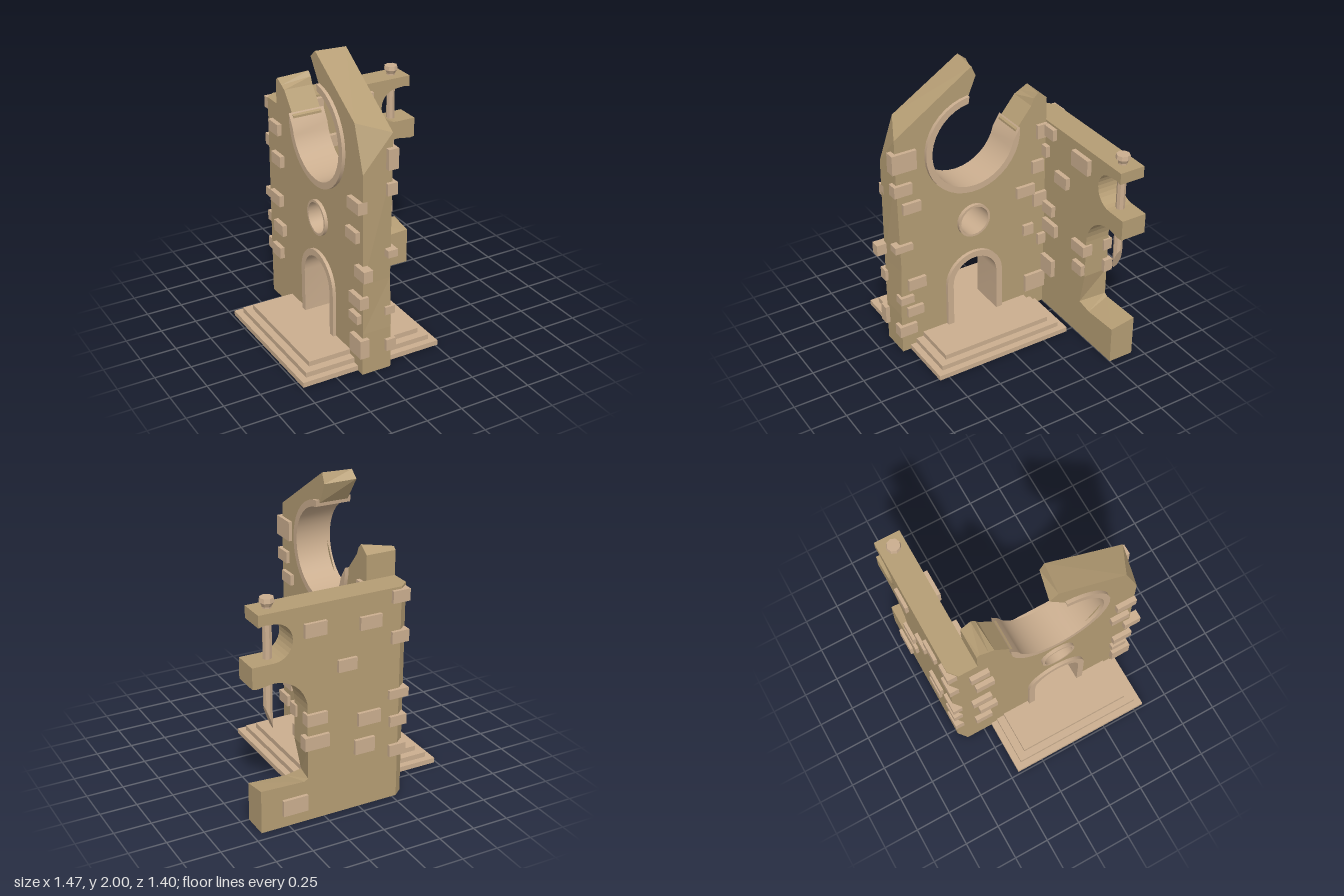
import * as THREE from 'three';
import { toCreasedNormals } from 'three/addons/utils/BufferGeometryUtils.js';

const wallMat = new THREE.MeshStandardMaterial({ color: 0xb59d74, flatShading: true });
const trimMat = new THREE.MeshStandardMaterial({ color: 0xcbae8f });

// Points along an arc, angles in degrees
function arc(cx, cy, r, a0, a1, n) {
  return Array.from({ length: n + 1 }, (_, i) => {
    const a = THREE.MathUtils.degToRad(a0 + (a1 - a0) * i / n);
    return [cx + r * Math.cos(a), cy + r * Math.sin(a)];
  });
}
const toVectors = pts => pts.map(p => new THREE.Vector2(p[0], p[1]));

// Extruded outline; a point [u, v, u2, v2] uses u2, v2 on the far face (depth 0)
function slab(pts, depth, holes = []) {
  const shape = new THREE.Shape(toVectors(pts));
  shape.holes = holes.map(h => new THREE.Path(toVectors(h)));
  const geo = new THREE.ExtrudeGeometry(shape, { depth, bevelEnabled: false });
  const pos = geo.attributes.position;
  const moved = pts.filter(p => p.length === 4);
  for (let i = 0; i < pos.count; i++) {
    if (pos.getZ(i) > 1e-4) continue;
    const m = moved.find(p => Math.hypot(p[0] - pos.getX(i), p[1] - pos.getY(i)) < 1e-4);
    if (m) pos.setXY(i, m[2], m[3]);
  }
  geo.computeVertexNormals();
  return geo;
}
// Slab drawn in (-z, y) and extruded along x
const sideSlab = (pts, x0, x1, holes) => slab(pts, x1 - x0, holes).rotateY(Math.PI / 2).translate(x0, 0, 0);
// Slab drawn in (x, -z) and extruded upwards
const floorSlab = (pts, y0, y1, holes) => slab(pts, y1 - y0, holes).rotateX(-Math.PI / 2).translate(0, y0, 0);

export function createModel() {
  const model = new THREE.Group();
  const add = (name, geo, mat, parent = model) => {
    const mesh = new THREE.Mesh(geo, mat);
    mesh.name = name;
    parent.add(mesh);
    return mesh;
  };

  // Stepped base, hollow underneath
  const rect = ([x0, x1, z0, z1]) => [[x0, -z1], [x1, -z1], [x1, -z0], [x0, -z0]];
  const steps = [
    [-0.735, 0.265, -0.44, 0.57],
    [-0.69, 0.22, -0.395, 0.525],
    [-0.64, 0.17, -0.34, 0.47],
  ].map(rect);
  steps.forEach((s, i) => {
    const holes = i < 2 ? [steps[i + 1]] : [];
    add('step' + (i + 1), floorSlab(s, i * 0.035, (i + 1) * 0.035, holes), trimMat);
  });

  // Gate wall with doorway, small window and broken round opening
  const u0 = -0.07;
  const gate = [
    [-0.63, 0], [u0 - 0.19, 0], ...arc(u0, 0.42, 0.19, 180, 0, 14), [u0 + 0.19, 0],
    [0.5, 0], [0.5, 1.63], [0.43, 1.68, 0.48, 1.65], [0.4, 1.65, 0.42, 1.62],
    [0.38, 1.6], [0.275, 1.47],
    ...arc(u0, 1.46, 0.33, 0, -265, 28),
    [-0.04, 1.93, 0.01, 1.95], [-0.07, 2, -0.05, 2],
    [-0.63, 1.635, -0.53, 1.7], [-0.63, 1.4], [-0.615, 0.65, -0.63, 0.65], [-0.63, 0.3],
  ];
  add('gateWall', sideSlab(gate, -0.34, -0.135, [arc(u0, 0.88, 0.112, 0, 345, 23)]), wallMat);

  // Stone trims around the three openings
  const trim = (name, pts, holes) =>
    add(name, toCreasedNormals(sideSlab(pts, -0.363, -0.11, holes), 0.6), trimMat);
  trim('roundOpeningTrim', [...arc(u0, 1.46, 0.35, 95, 363, 28), ...arc(u0, 1.46, 0.305, 348, 97, 26)]);
  trim('windowTrim', arc(u0, 0.88, 0.12, 0, 345, 23), [arc(u0, 0.88, 0.104, 0, 345, 23)]);
  trim('doorTrim', [
    [u0 + 0.215, 0], ...arc(u0, 0.42, 0.215, 0, 180, 16), [u0 - 0.215, 0],
    [u0 - 0.17, 0], ...arc(u0, 0.42, 0.17, 180, 0, 16), [u0 + 0.17, 0],
  ]);

  // Side wall with two broken arches, and its chamfered corner
  const side = [
    [-0.2, 0], [0.69, 0], [0.69, 0.265, 0.69, 0.295], [0.43, 0.25, 0.39, 0.285],
    [0.32, 0.27, 0.365, 0.3], [0.365, 0.5],
    ...arc(0.6, 0.775, 0.235, 180, 90, 9), [0.7, 0.995], [0.735, 1.0], [0.735, 1.14],
    ...arc(0.59, 1.265, 0.125, 270, 90, 14), [0.65, 1.395], [0.69, 1.385],
    [0.69, 1.465], [-0.2, 1.465],
  ];
  add('sideWall', slab(side, 0.18).translate(0, 0, -0.68), wallMat);
  const corner = [[-0.34, 0.5], [-0.2, 0.5], [-0.2, 0.68], [-0.28, 0.68], [-0.34, 0.63]];
  add('wallCorner', floorSlab(corner, 0, 1.465), wallMat);

  // Hanging rod with a slanted broken tip and an eight-sided cap
  const rod = new THREE.Group();
  rod.name = 'rod';
  rod.position.set(0.59, 0, -0.588);
  model.add(rod);
  const shaft = new THREE.CylinderGeometry(0.03, 0.03, 0.7, 8).translate(0, 1.15, 0);
  const p = shaft.attributes.position;
  for (let i = 0; i < p.count; i++) {
    if (p.getY(i) < 1) p.setY(i, 0.66 + (p.getX(i) + 0.03) * 2.8);
  }
  const rodMat = trimMat.clone();
  rodMat.flatShading = true;
  add('rodShaft', shaft, rodMat, rod);
  add('rodCapNeck', new THREE.CylinderGeometry(0.045, 0.03, 0.03, 8).translate(0, 1.49, 0), rodMat, rod);
  add('rodCap', new THREE.CylinderGeometry(0.045, 0.05, 0.028, 8).translate(0, 1.518, 0), rodMat, rod);

  // Raised stones
  const stones = new THREE.Group();
  stones.name = 'raisedStones';
  model.add(stones);
  const stone = (x, y, z, w, h, d) =>
    add('stone', new THREE.BoxGeometry(w, h, d).translate(x, y, z), trimMat, stones);

  // Side wall, front face: x, y, width, height
  [
    [0.295, 1.355, 0.18, 0.11], [-0.055, 1.41, 0.1, 0.08], [0.09, 1.12, 0.135, 0.085],
    [-0.055, 0.82, 0.11, 0.08], [-0.035, 0.68, 0.15, 0.09], [-0.05, 0.36, 0.13, 0.13],
    [0.31, 0.71, 0.14, 0.08], [0.31, 0.55, 0.105, 0.08], [-0.11, 1.25, 0.06, 0.08],
  ].forEach(([x, y, w, h]) => stone(x, y, -0.505, w, h, 0.075));

  // Side wall, back face
  [
    [0.32, 1.31, 0.15, 0.09], [-0.06, 1.28, 0.15, 0.085], [0.1, 1.03, 0.13, 0.08],
    [0.31, 0.71, 0.14, 0.08], [0.31, 0.55, 0.17, 0.09], [-0.06, 0.63, 0.16, 0.09],
    [-0.03, 0.44, 0.14, 0.1], [0.46, 0.14, 0.17, 0.11], [-0.27, 1.41, 0.12, 0.08],
    [-0.27, 1.14, 0.12, 0.08], [-0.27, 0.75, 0.14, 0.06], [-0.27, 0.56, 0.12, 0.07],
    [-0.27, 0.35, 0.12, 0.08],
  ].forEach(([x, y, w, h]) => stone(x, y, -0.67, w, h, 0.065));

  // Gate wall, inner face: z, y, depth, height
  [
    [0.575, 1.475, 0.175, 0.135], [0.59, 1.275, 0.13, 0.08], [0.53, 1.13, 0.13, 0.075],
    [0.6, 0.84, 0.13, 0.05], [0.51, 0.535, 0.13, 0.08], [0.59, 0.425, 0.1, 0.055],
    [0.53, 0.32, 0.12, 0.07], [0.59, 0.18, 0.13, 0.08], [-0.335, 0.975, 0.14, 0.08],
    [-0.36, 0.66, 0.08, 0.08], [-0.43, 1.14, 0.09, 0.09], [-0.45, 0.88, 0.1, 0.1],
    [-0.42, 0.21, 0.16, 0.13], [-0.47, 1.4, 0.1, 0.1], [-0.48, 0.55, 0.08, 0.08],
  ].forEach(([z, y, d, h]) => stone(-0.145, y, z, 0.07, h, d));

  // Gate wall, outer face
  [
    [0.56, 1.18, 0.14, 0.08], [0.53, 0.97, 0.13, 0.075], [0.64, 0.745, 0.12, 0.08],
    [0.58, 0.53, 0.14, 0.08], [0.56, 0.4, 0.11, 0.06], [0.59, 0.205, 0.14, 0.13],
    [-0.5, 1.3, 0.13, 0.08], [-0.47, 1.08, 0.13, 0.08], [-0.5, 0.78, 0.14, 0.08],
    [-0.46, 0.57, 0.13, 0.08], [-0.5, 0.38, 0.12, 0.08],
  ].forEach(([z, y, d, h]) => stone(-0.34, y, z, 0.065, h, d));

  return model;
}
